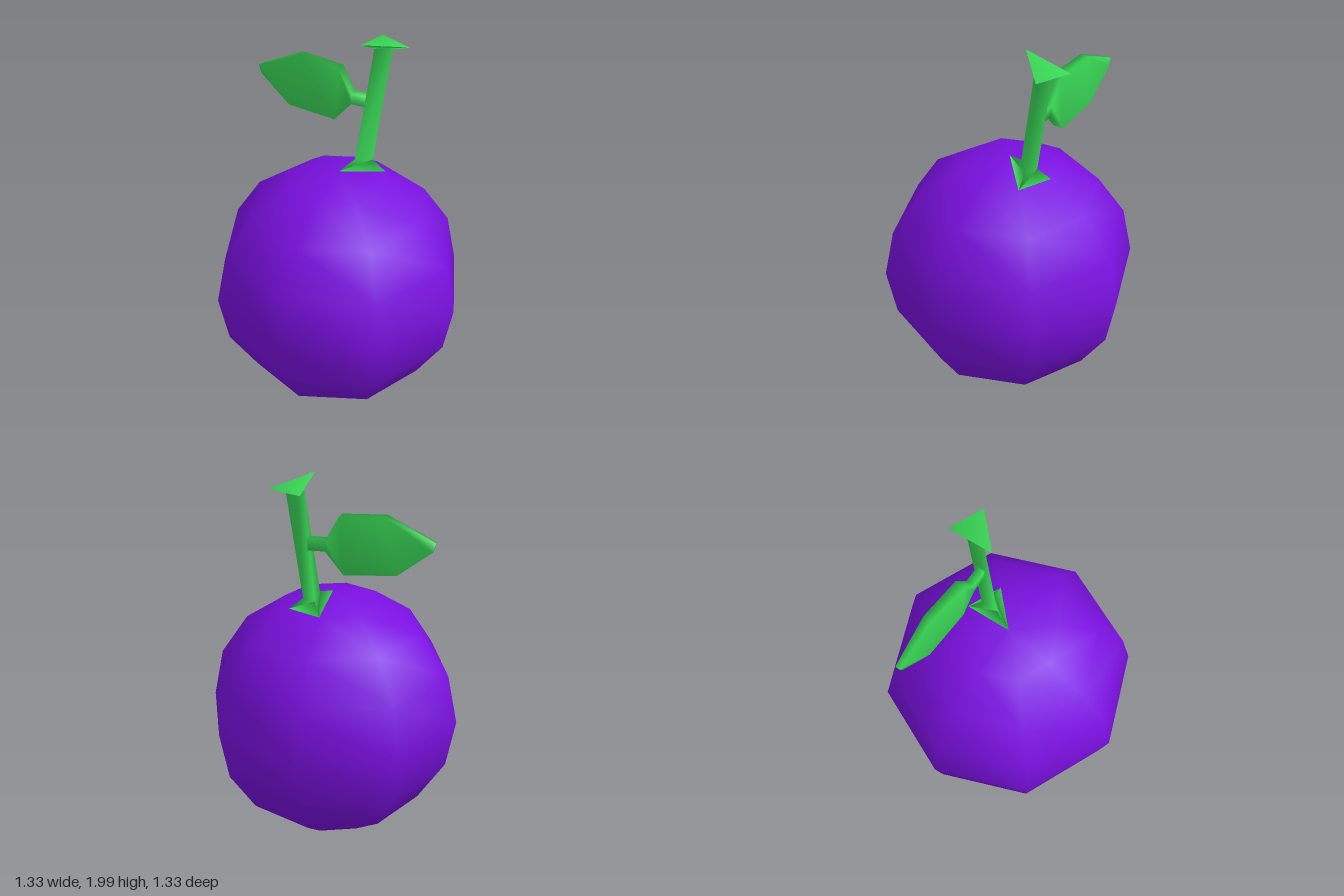
import * as THREE from 'three';

// Skin a closed solid over a list of equal-sized rings of [x, y, z] corners
function loft(rings) {
  const n = rings[0].length, last = (rings.length - 1) * n;
  const index = [];
  for (let i = 0; i < rings.length - 1; i++) {
    for (let j = 0; j < n; j++) {
      const a = i * n + j, b = i * n + (j + 1) % n;
      index.push(a, b, b + n, a, b + n, a + n);
    }
  }
  for (let j = 1; j < n - 1; j++) {
    index.push(0, j + 1, j, last, last + j, last + j + 1);
  }
  const geometry = new THREE.BufferGeometry();
  geometry.setAttribute('position', new THREE.Float32BufferAttribute(rings.flat(2), 3));
  geometry.setIndex(index);
  geometry.computeVertexNormals();
  return geometry;
}

export function createModel() {
  const group = new THREE.Group();
  const purple = new THREE.MeshStandardMaterial({ color: 0x7a10e0 });
  purple.name = 'purple skin';
  const green = new THREE.MeshStandardMaterial({ color: 0x38d655 });
  green.name = 'leaf green';

  const add = (name, geometry, material) => {
    const mesh = new THREE.Mesh(geometry, material);
    mesh.name = name;
    group.add(mesh);
    return mesh;
  };

  // Round fruit with eight sides
  add('fruit', new THREE.SphereGeometry(0.667, 8, 8), purple).position.y = 0.673;

  // Three-sided stem, flared at the fruit and at the tip
  const base = [[0, 1.34, 0], [0.255, 1.289, 0], [0.18, 1.289, -0.18]];
  const centre = [0.145, 1.306, -0.06];
  const stemRing = (scale, offset) =>
    base.map(p => p.map((v, k) => centre[k] + (v - centre[k]) * scale + offset[k]));
  add('stem', loft([
    stemRing(1, [0, 0, 0]),
    stemRing(0.38, [0.01, 0.05, -0.005]),
    stemRing(0.38, [0.122, 0.635, -0.05]),
    stemRing(1, [0.13, 0.66, -0.055]),
  ]), green);

  // Flat leaf and its stalk: bottom point, top point and half thickness of each section
  const sections = [
    [[0.20, 1.63, -0.10], [0.20, 1.69, -0.10], 0.022],
    [[0.13, 1.63, -0.165], [0.13, 1.69, -0.165], 0.022],
    [[0.065, 1.52, -0.235], [0.08, 1.815, -0.215], 0.028],
    [[-0.125, 1.54, -0.42], [-0.075, 1.835, -0.39], 0.022],
    [[-0.24, 1.675, -0.55], [-0.25, 1.72, -0.56], 0.012],
  ];
  const shift = ([x, y, z], t) => [x - 0.72 * t, y, z + 0.7 * t];
  add('leaf', loft(sections.map(([low, high, t]) =>
    [shift(low, -t), shift(low, t), shift(high, t), shift(high, -t)])), green);

  return group;
}
